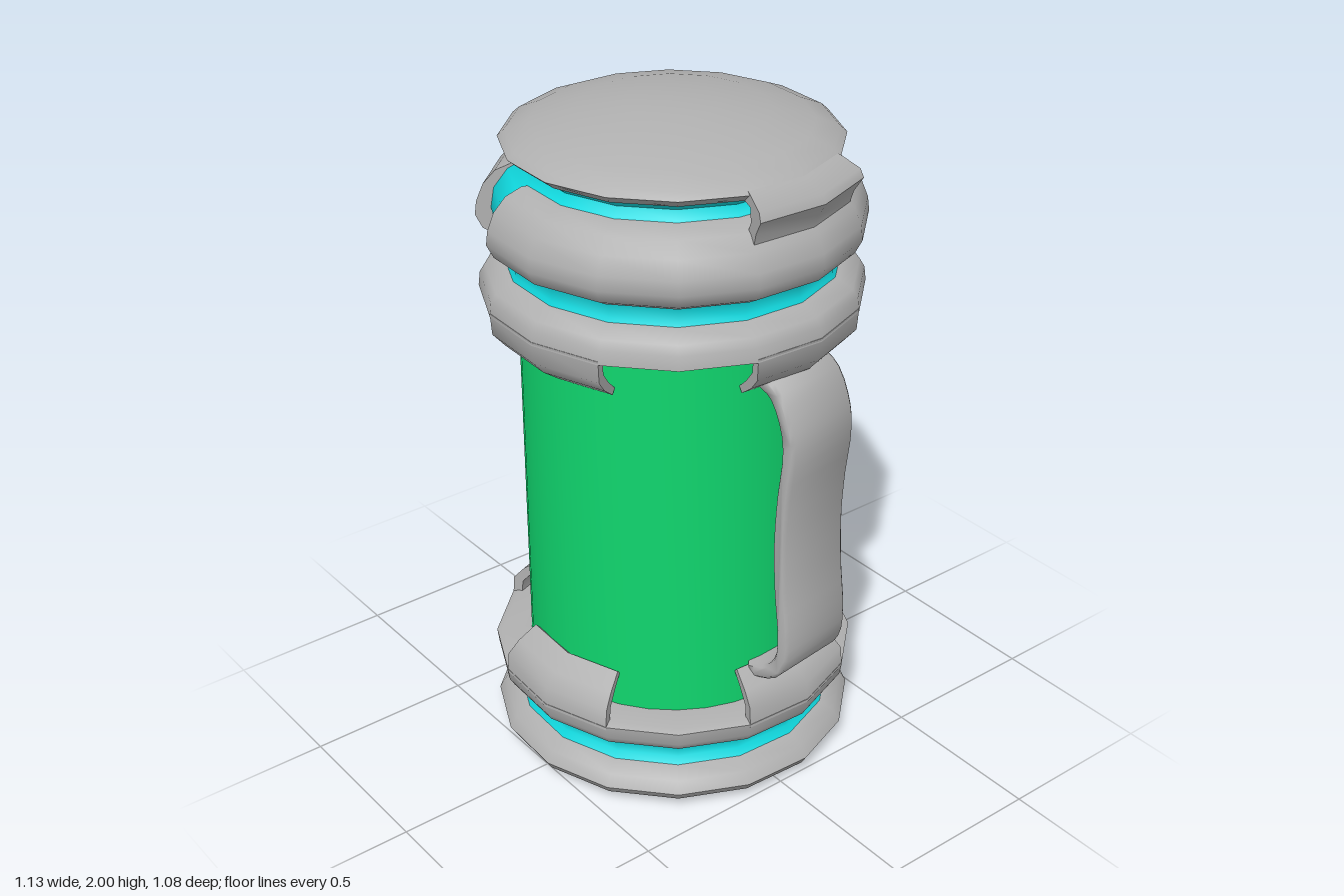
import * as THREE from 'three';
import { toCreasedNormals, mergeGeometries } from 'three/addons/utils/BufferGeometryUtils.js';

const rad = THREE.MathUtils.degToRad;
const STEP = 22.5;          // sixteen-sided body
const START = 8.5;          // angle of the side corners
const pts = (list) => list.map(([x, y]) => new THREE.Vector2(x, y));
const flip = (list, sum) => list.map(([r, y]) => [r, sum - y]).reverse();

function material(name, color) {
  const m = new THREE.MeshStandardMaterial({ color, side: THREE.DoubleSide });
  m.name = name;
  return m;
}

// Full ring turned from a profile that runs upwards along the outside
function turned(profile, crease = 0.9, sides = 16) {
  return toCreasedNormals(new THREE.LatheGeometry(pts(profile), sides, rad(START), Math.PI * 2), crease);
}

// Part of a ring with a closed cross-section and capped ends
function arc(section, startDeg, segments) {
  const endDeg = startDeg + segments * STEP;
  const closed = pts([...section, section[0]]);
  const parts = [new THREE.LatheGeometry(closed, segments, rad(startDeg), rad(endDeg - startDeg))];
  for (const deg of [startDeg, endDeg]) {
    const cap = new THREE.ShapeGeometry(new THREE.Shape(pts(section)));
    cap.rotateY(rad(deg - 90));
    parts.push(cap);
  }
  return toCreasedNormals(mergeGeometries(parts.map((g) => g.toNonIndexed())), 0.9);
}

// Flat bent bar: a centre line in the radius/height plane, given thickness and width
function bar(path, thickness, width, deg) {
  const curve = new THREE.CatmullRomCurve3(path.map(([x, y]) => new THREE.Vector3(x, y, 0)));
  const outer = [], inner = [];
  for (let i = 0; i <= 28; i++) {
    const p = curve.getPoint(i / 28), t = curve.getTangent(i / 28);
    const nx = t.y * thickness / 2, ny = -t.x * thickness / 2;
    outer.push(new THREE.Vector2(p.x + nx, p.y + ny));
    inner.unshift(new THREE.Vector2(p.x - nx, p.y - ny));
  }
  const g = new THREE.ExtrudeGeometry(new THREE.Shape([...outer, ...inner]), {
    depth: width - 0.02, bevelEnabled: true, bevelThickness: 0.01, bevelSize: 0.008,
    bevelOffset: -0.008, bevelSegments: 1,
  });
  g.translate(0, 0, -(width - 0.02) / 2);
  g.rotateY(rad(deg - 90));
  return toCreasedNormals(g, 0.9);
}

export function createModel() {
  const model = new THREE.Group();
  model.name = 'canister';
  model.position.x = -0.02;
  const grey = material('grey metal', 0xb0b0b0);
  const green = material('green', 0x10d66e);
  const cyan = material('cyan', 0x10dae0);
  const add = (name, geometry, mat) => {
    const mesh = new THREE.Mesh(geometry, mat);
    mesh.name = name;
    model.add(mesh);
    return mesh;
  };

  // Main body
  add('body', turned([[0, 0.27], [0.437, 0.27], [0.437, 1.47], [0, 1.47]], 0.9, 32), green);

  // Base foot
  add('foot', turned([[0, 0], [0.3, 0.004], [0.47, 0.018], [0.53, 0.035], [0.545, 0.06],
    [0.525, 0.095], [0.485, 0.12], [0.44, 0.125]]), grey);

  // Glowing bands and the core behind the upper ring
  add('lowerBand', turned([[0.485, 0.115], [0.465, 0.14], [0.46, 0.165], [0.485, 0.205]]), cyan);
  add('upperCore', turned([[0.485, 1.535], [0.465, 1.56], [0.465, 1.6], [0.485, 1.63],
    [0.5, 1.69], [0.49, 1.75], [0.45, 1.805], [0.415, 1.825], [0.405, 1.85], [0.43, 1.875]]), cyan);

  // Collars at both ends of the body
  const collar = [[0.45, 0.185], [0.485, 0.19], [0.525, 0.215], [0.54, 0.24], [0.545, 0.28],
    [0.525, 0.288], [0.42, 0.288]];
  add('lowerCollar', turned(collar), grey);
  add('upperCollar', turned(flip(collar, 1.738)), grey);

  // Four hooked clips on each collar
  const clip = [[0.515, 0.27], [0.545, 0.27], [0.54, 0.335], [0.505, 0.375], [0.45, 0.415],
    [0.435, 0.4], [0.475, 0.365], [0.51, 0.325]];
  for (let i = 0; i < 4; i++) {
    const start = START - STEP + i * 90;
    add('lowerClip', arc(clip, start, 2), grey);
    add('upperClip', arc(flip(clip, 1.738), start, 2), grey);
  }

  // Thick upper ring, broken by two slots
  const ring = [[0.43, 1.605], [0.485, 1.607], [0.525, 1.63], [0.545, 1.67], [0.54, 1.71],
    [0.52, 1.76], [0.485, 1.8], [0.44, 1.82], [0.4, 1.822]];
  add('upperRingLong', arc(ring, START - STEP, 10), grey);
  add('upperRingShort', arc(ring, START + STEP * 10, 4), grey);

  // Domed lid
  add('lid', turned([[0, 1.865], [0.4, 1.865], [0.445, 1.875], [0.475, 1.9], [0.455, 1.918],
    [0.39, 1.945], [0.27, 1.975], [0.13, 1.995], [0, 2]]), grey);

  // Lid latch above the handle
  add('lidLatch', arc([[0.46, 1.78], [0.505, 1.775], [0.515, 1.81], [0.54, 1.85], [0.53, 1.875],
    [0.475, 1.905], [0.4, 1.93], [0.4, 1.885], [0.48, 1.87], [0.485, 1.83]], START + STEP * 3, 2), grey);

  // Side handle
  add('handle', bar([[0.44, 1.36], [0.5, 1.33], [0.545, 1.24], [0.555, 1.16], [0.54, 1.02],
    [0.533, 0.88], [0.54, 0.72], [0.555, 0.58], [0.55, 0.49], [0.51, 0.43], [0.43, 0.4]],
  0.045, 0.25, 97), grey);

  const root = new THREE.Group();
  root.name = 'model';
  root.add(model);
  return root;
}
